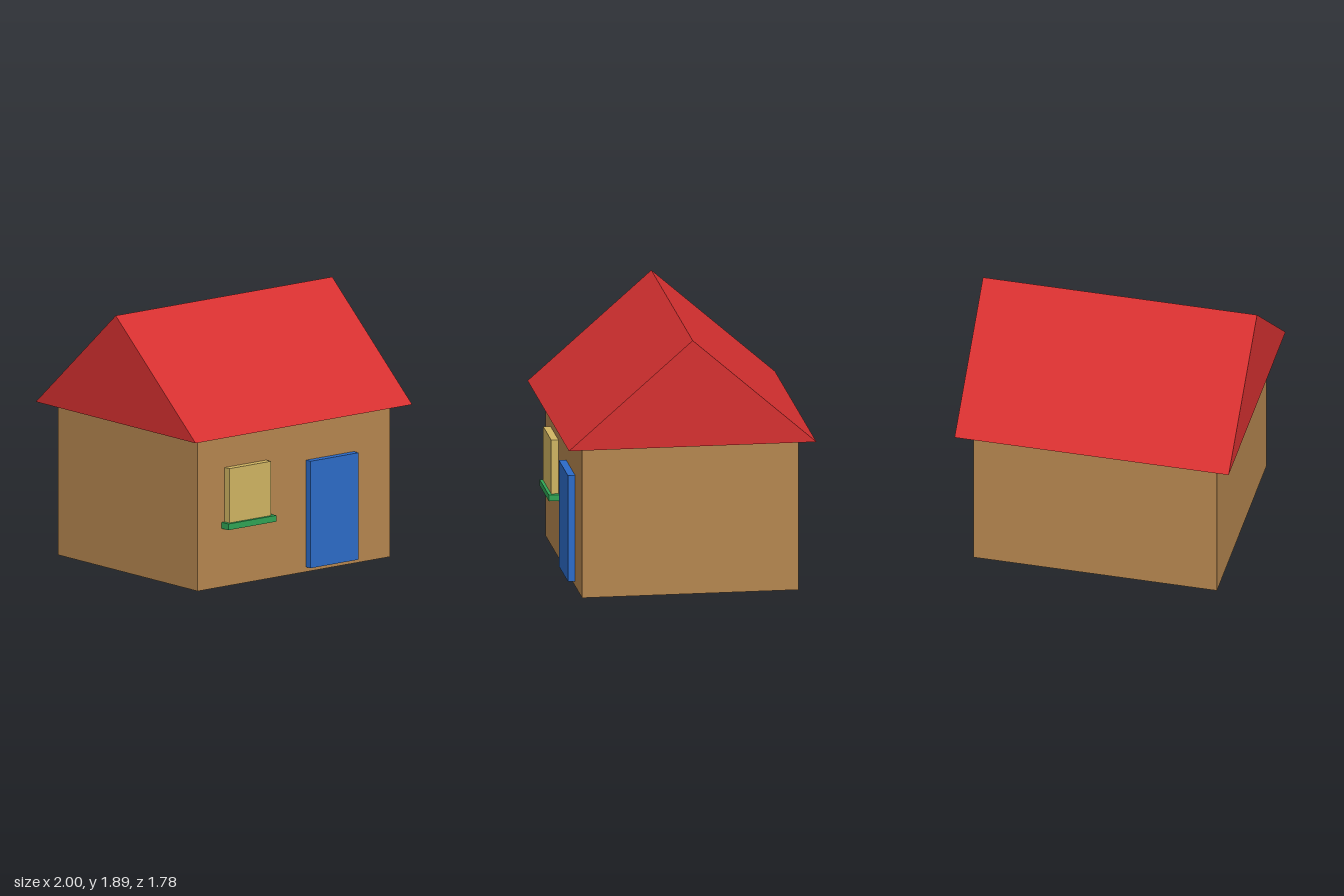
import * as THREE from 'three';

function material(name, color) {
  const m = new THREE.MeshStandardMaterial({ color });
  m.name = name;
  return m;
}

// Box given by its minimum and maximum corners
function box(name, mat, [x0, y0, z0], [x1, y1, z1]) {
  const mesh = new THREE.Mesh(new THREE.BoxGeometry(x1 - x0, y1 - y0, z1 - z0), mat);
  mesh.name = name;
  mesh.position.set((x0 + x1) / 2, (y0 + y1) / 2, (z0 + z1) / 2);
  return mesh;
}

// Solid gabled prism with its ridge along x
function gableRoof(mat, length, halfDepth, eaves, ridge) {
  const gable = new THREE.Shape();
  gable.moveTo(-halfDepth, eaves);
  gable.lineTo(halfDepth, eaves);
  gable.lineTo(0, ridge);
  gable.closePath();
  const geometry = new THREE.ExtrudeGeometry(gable, { depth: length, bevelEnabled: false });
  geometry.translate(0, 0, -length / 2);
  geometry.rotateY(Math.PI / 2);
  const mesh = new THREE.Mesh(geometry, mat);
  mesh.name = 'roof';
  return mesh;
}

export function createModel() {
  const house = new THREE.Group();
  house.name = 'house';

  const brown = material('wall brown', 0xb5864f);
  const red = material('roof red', 0xd63030);
  const blue = material('door blue', 0x2c6bc8);
  const yellow = material('window yellow', 0xd0b462);
  const green = material('sill green', 0x30a455);

  const wallZ = 0.778;
  house.add(
    box('walls', brown, [-0.889, 0, -wallZ], [0.889, 1.111, wallZ]),
    gableRoof(red, 2, 0.889, 1.111, 1.889),
    // Front fittings
    box('door', blue, [0.111, 0.035, wallZ], [0.555, 0.813, 0.83]),
    box('window', yellow, [-0.64, 0.47, wallZ], [-0.255, 0.865, 0.83]),
    box('windowSill', green, [-0.667, 0.425, wallZ], [-0.222, 0.47, 0.852])
  );
  return house;
}
